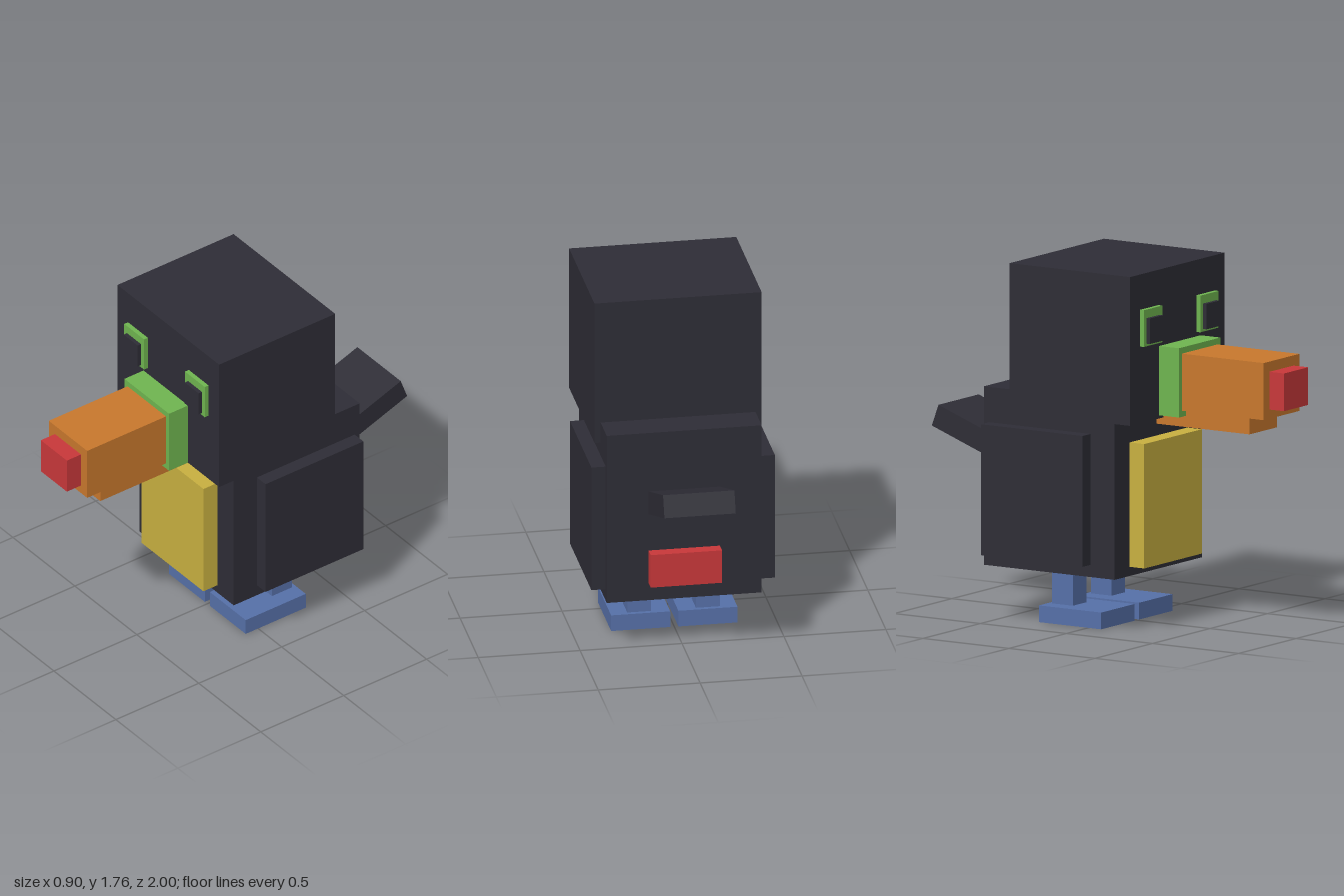
import * as THREE from 'three';

const paint = (name, color) => Object.assign(new THREE.MeshStandardMaterial({ color }), { name });

export function createModel() {
  const bird = new THREE.Group();
  bird.name = 'bird';

  const charcoal = paint('charcoal', 0x2e2d36);
  const green = paint('green', 0x6fb550);
  const orange = paint('orange', 0xc8782d);
  const red = paint('red', 0xc8383a);
  const yellow = paint('yellow', 0xc8b040);
  const blue = paint('blue', 0x5670a8);

  // Box given by its lower and upper limits on each axis
  function block(name, material, [x0, x1], [y0, y1], [z0, z1]) {
    const mesh = new THREE.Mesh(new THREE.BoxGeometry(x1 - x0, y1 - y0, z1 - z0), material);
    mesh.position.set((x0 + x1) / 2, (y0 + y1) / 2, (z0 + z1) / 2);
    mesh.name = name;
    bird.add(mesh);
    return mesh;
  }

  // Mirrored pair, limits given for the left (+x) side
  function pair(name, material, [x0, x1], y, z) {
    block('left' + name, material, [x0, x1], y, z);
    block('right' + name, material, [-x1, -x0], y, z);
  }

  // Head and body
  block('head', charcoal, [-0.41, 0.41], [1.035, 1.765], [-0.39, 0.31]);
  block('body', charcoal, [-0.38, 0.38], [0.265, 1.14], [-0.56, 0.2]);
  block('belly', yellow, [-0.25, 0.25], [0.31, 0.92], [0.19, 0.285]);
  block('rumpPatch', red, [-0.175, 0.175], [0.355, 0.525], [-0.62, -0.55]);

  // Beak
  block('upperBeak', orange, [-0.155, 0.155], [1.085, 1.365], [0.28, 0.915]);
  block('lowerBeak', orange, [-0.12, 0.12], [1.0, 1.085], [0.27, 0.81]);
  block('beakBand', green, [-0.18, 0.18], [1.055, 1.395], [0.325, 0.44]);
  block('beakTip', red, [-0.105, 0.105], [1.13, 1.315], [0.91, 1.0]);

  // Eyes, wings, legs and feet
  pair('EyeRing', green, [0.165, 0.325], [1.412, 1.592], [0.3, 0.333]);
  pair('Pupil', charcoal, [0.19, 0.303], [1.425, 1.55], [0.325, 0.353]);
  pair('Wing', charcoal, [0.37, 0.45], [0.325, 0.967], [-0.53, 0.06]);
  pair('Leg', blue, [0.11, 0.227], [0.07, 0.27], [-0.265, -0.145]);
  pair('Foot', blue, [0.02, 0.31], [0, 0.082], [-0.287, 0.075]);

  // Tail, tilted up towards the back
  const tail = block('tail', charcoal, [-0.175, 0.175], [0.786, 0.898], [-0.995, -0.495]);
  tail.rotation.x = THREE.MathUtils.degToRad(20);

  return bird;
}
